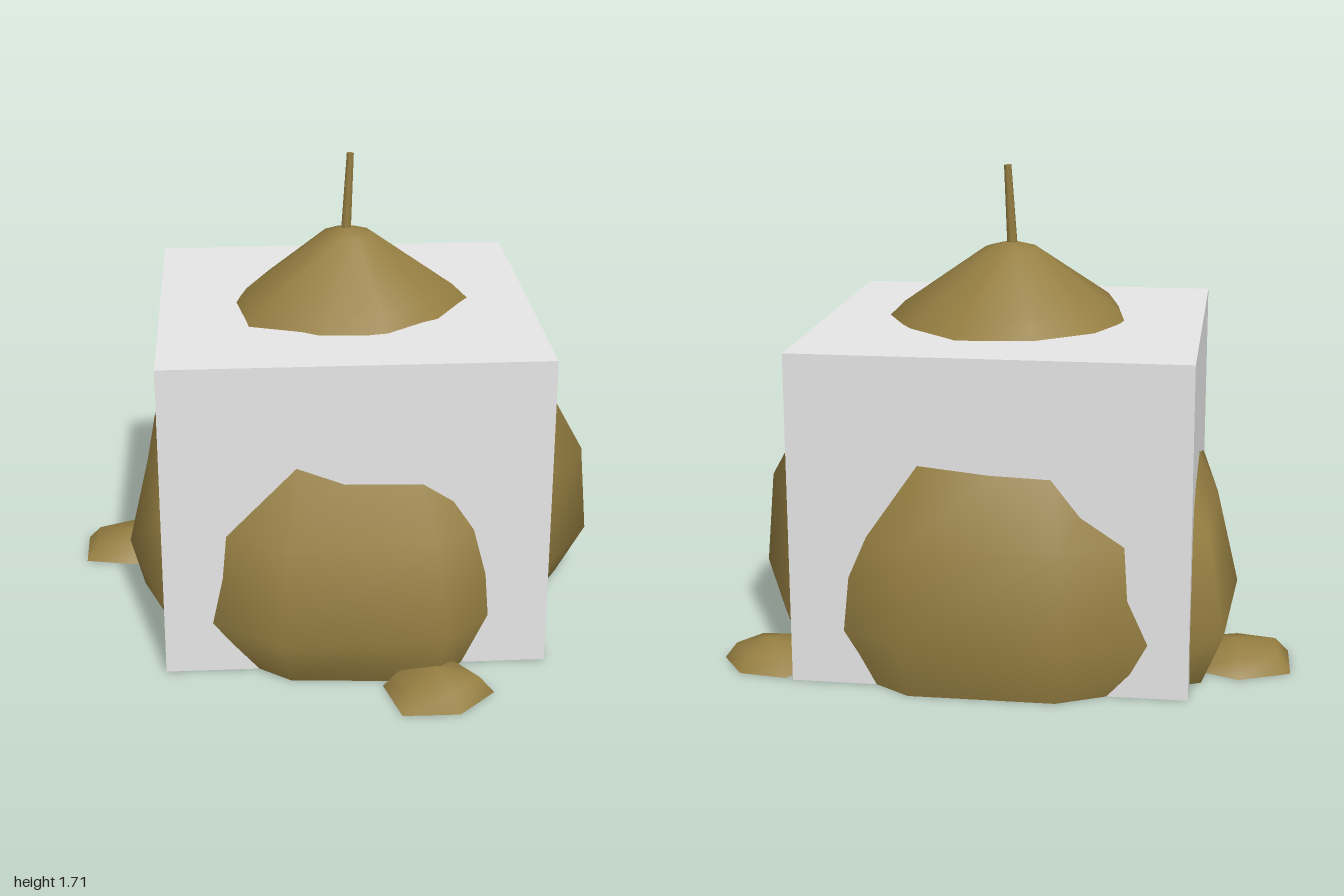
import * as THREE from 'three';

// Lofts rings of radii (evenly spaced, starting at +x and turning to +z) up to an apex; open below.
function mound(rings, apexY, cx, cz, turn = 0) {
  const n = rings[0].r.length;
  const pos = [], index = [];
  for (const { y, r } of rings) {
    for (let i = 0; i < n; i++) {
      const a = turn + (i / n) * Math.PI * 2;
      pos.push(cx + Math.cos(a) * r[i], y, cz + Math.sin(a) * r[i]);
    }
  }
  pos.push(cx, apexY, cz);
  const apex = rings.length * n;
  for (let j = 0; j < rings.length; j++) {
    for (let i = 0; i < n; i++) {
      const k = (i + 1) % n, a = j * n + i, b = j * n + k;
      if (j === rings.length - 1) index.push(a, apex, b);
      else index.push(a, a + n, b, b, a + n, b + n);
    }
  }
  const g = new THREE.BufferGeometry();
  g.setAttribute('position', new THREE.Float32BufferAttribute(pos, 3));
  g.setIndex(index);
  g.computeVertexNormals();
  return g;
}

export function createModel() {
  const group = new THREE.Group();
  const straw = new THREE.MeshStandardMaterial({ color: 0x967f42, side: THREE.DoubleSide });
  straw.name = 'straw';
  const grey = new THREE.MeshStandardMaterial({ color: 0xe7e7e7 });
  grey.name = 'pale grey';

  const add = (name, geometry, material) => {
    const mesh = new THREE.Mesh(geometry, material);
    mesh.name = name;
    group.add(mesh);
    return mesh;
  };

  // Block enclosing the middle of the stack
  add('block', new THREE.BoxGeometry(1.36, 1.155, 1.36), grey).position.set(0.03, 0.5775, -0.107);

  // Ten-sided uneven haystack
  add('haystack', mound([
    { y: 0, r: [0.83, 0.72, 0.84, 0.8, 0.78, 0.79, 0.9, 0.81, 0.81, 0.83] },
    { y: 0.19, r: [0.94, 0.79, 0.92, 0.91, 0.88, 0.84, 0.99, 0.85, 0.87, 0.9] },
    { y: 0.53, r: [0.91, 0.77, 0.85, 0.86, 0.86, 0.76, 0.92, 0.84, 0.85, 0.8] },
    { y: 0.91, r: [0.7, 0.59, 0.55, 0.63, 0.65, 0.58, 0.62, 0.64, 0.66, 0.6] },
    { y: 1.21, r: [0.39, 0.34, 0.35, 0.34, 0.41, 0.37, 0.35, 0.36, 0.39, 0.36] },
    { y: 1.415, r: Array(10).fill(0.095) },
  ], 1.44, 0.04, -0.1), straw);

  // Pole standing out of the top, leaning slightly
  const base = new THREE.Vector3(0.033, 1.36, -0.104);
  const tip = new THREE.Vector3(0.052, 1.71, -0.111);
  const dir = tip.clone().sub(base);
  const pole = add('pole', new THREE.CylinderGeometry(0.014, 0.021, dir.length(), 6), straw);
  pole.position.copy(base).add(tip).multiplyScalar(0.5);
  pole.quaternion.setFromUnitVectors(new THREE.Vector3(0, 1, 0), dir.normalize());

  // Small loose clumps of straw on the ground
  const clumps = [
    { name: 'rightClump', x: -0.81, z: -0.41, turn: 0.5, r: [0.2, 0.15, 0.21, 0.21, 0.18, 0.2] },
    { name: 'leftClump', x: 0.83, z: -0.62, turn: 0, r: [0.17, 0.155, 0.17, 0.18, 0.18, 0.155] },
    { name: 'frontClump', x: 0.3, z: 0.75, turn: 0.17, r: [0.2, 0.18, 0.215, 0.19, 0.17, 0.15] },
  ];
  for (const c of clumps) {
    add(c.name, mound([
      { y: 0, r: c.r },
      { y: 0.058, r: c.r.map((v) => v * 0.74) },
    ], 0.085, c.x, c.z, c.turn), straw);
  }
  return group;
}
